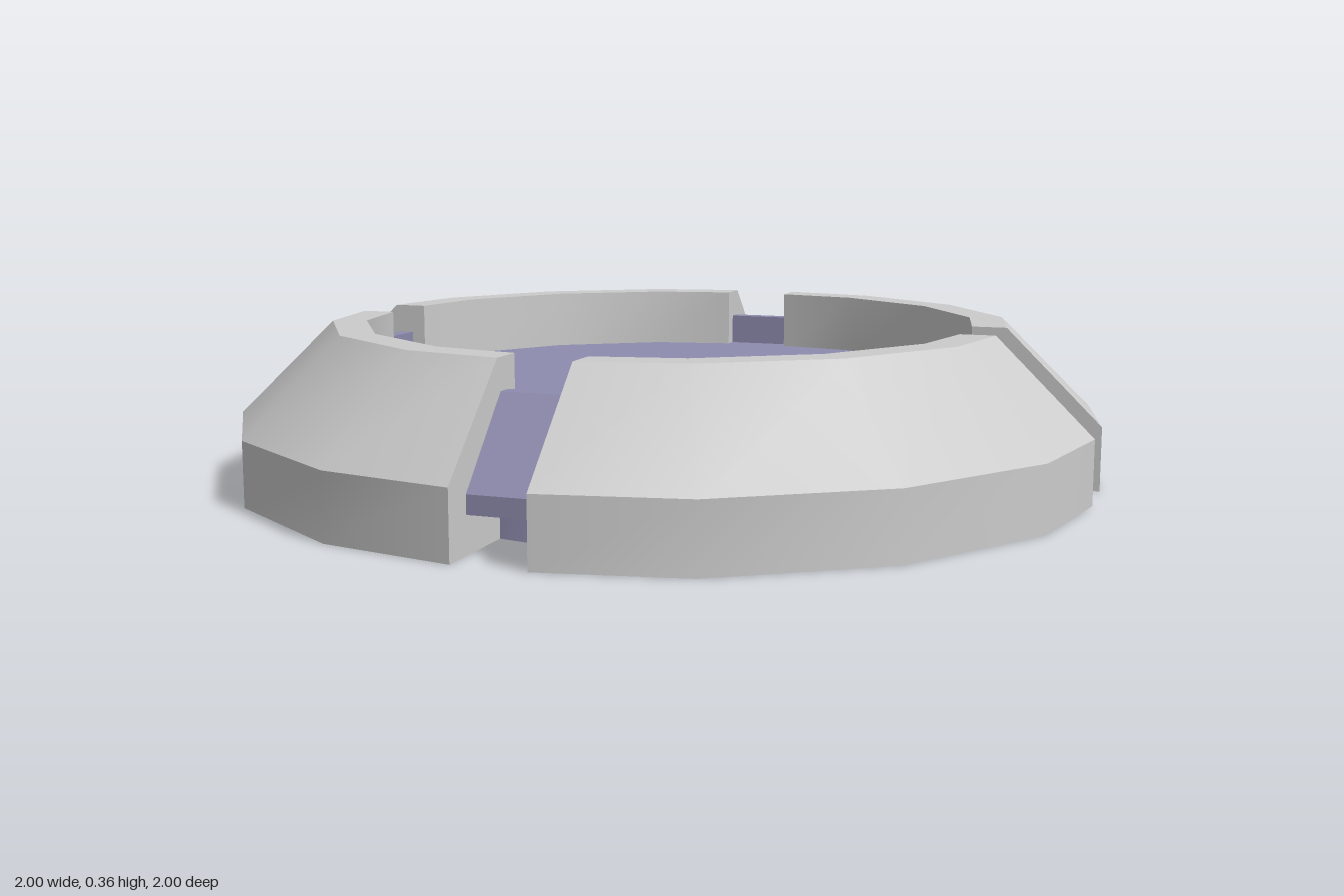
import * as THREE from 'three';
import { toCreasedNormals } from 'three/addons/utils/BufferGeometryUtils.js';

const GAP = 0.08; // half width of the four slots
const SIDES = 16;
const FLOOR = 0.22;
const CORE_RADIUS = 0.797;

// Rim cross-section as [radius, height], from the outer foot up and inward
const SECTION = [
  [1.015, 0], [1.015, 0.147], [0.797, 0.363], [0.718, 0.363],
  [0.718, 0.2], [CORE_RADIUS, 0.2], [CORE_RADIUS, 0],
];

// Plan position of corner i (0..4) of a quarter polygon, trimmed at the slots
function planPoint(radius, i) {
  const trimmed = radius - GAP * Math.tan(Math.PI / SIDES);
  if (i === 0) return [GAP, trimmed];
  if (i === 4) return [trimmed, GAP];
  const a = (i * 2 * Math.PI) / SIDES;
  return [radius * Math.sin(a), radius * Math.cos(a)];
}

// One quarter of the rim, closed by a cap at each slot
function rimGeometry() {
  const n = SECTION.length;
  const positions = [];
  const index = [];
  for (let i = 0; i <= 4; i++) {
    for (const [r, y] of SECTION) {
      const [x, z] = planPoint(r, i);
      positions.push(x, y, z);
    }
  }
  for (let i = 0; i < 4; i++) {
    for (let j = 0; j < n; j++) {
      const k = (j + 1) % n;
      const a = i * n + j, b = (i + 1) * n + j, c = (i + 1) * n + k, d = i * n + k;
      index.push(a, b, c, a, c, d);
    }
  }
  // Caps fan out from the reflex corner of the section
  const hub = 5, end = 4 * n;
  for (let s = 1; s < n - 1; s++) {
    const p = (hub + s) % n, q = (hub + s + 1) % n;
    index.push(hub, p, q, end + hub, end + q, end + p);
  }
  const geometry = new THREE.BufferGeometry();
  geometry.setAttribute('position', new THREE.Float32BufferAttribute(positions, 3));
  geometry.setIndex(index);
  return toCreasedNormals(geometry, Math.PI / 6);
}

// Sloped bar that fills a slot, lying slightly below the rim
function barGeometry() {
  const profile = new THREE.Shape([
    [0.735, 0.08], [0.928, 0.08], [0.928, 0.12], [0.77, 0.295], [0.735, 0.295],
  ].map(([r, y]) => new THREE.Vector2(r, y)));
  const width = GAP * 2 - 0.002;
  return new THREE.ExtrudeGeometry(profile, { depth: width, bevelEnabled: false })
    .translate(0, 0, -width / 2);
}

export function createModel() {
  const group = new THREE.Group();
  const grey = new THREE.MeshStandardMaterial({ color: 0xcccccc });
  const violet = new THREE.MeshStandardMaterial({ color: 0x8e8cae });

  // Central disc
  const core = new THREE.Mesh(
    toCreasedNormals(new THREE.CylinderGeometry(CORE_RADIUS, CORE_RADIUS, FLOOR, SIDES), Math.PI / 6),
    violet,
  );
  core.position.y = FLOOR / 2;
  core.name = 'floorDisc';
  group.add(core);

  // Four rim quarters and the bars between them
  const rim = rimGeometry();
  const bar = barGeometry();
  for (let q = 0; q < 4; q++) {
    const rimQuarter = new THREE.Mesh(rim, grey);
    rimQuarter.name = `rimQuarter${q + 1}`;
    const slotBar = new THREE.Mesh(bar, violet);
    slotBar.name = `slotBar${q + 1}`;
    rimQuarter.rotation.y = slotBar.rotation.y = (q * Math.PI) / 2;
    group.add(rimQuarter, slotBar);
  }
  return group;
}
